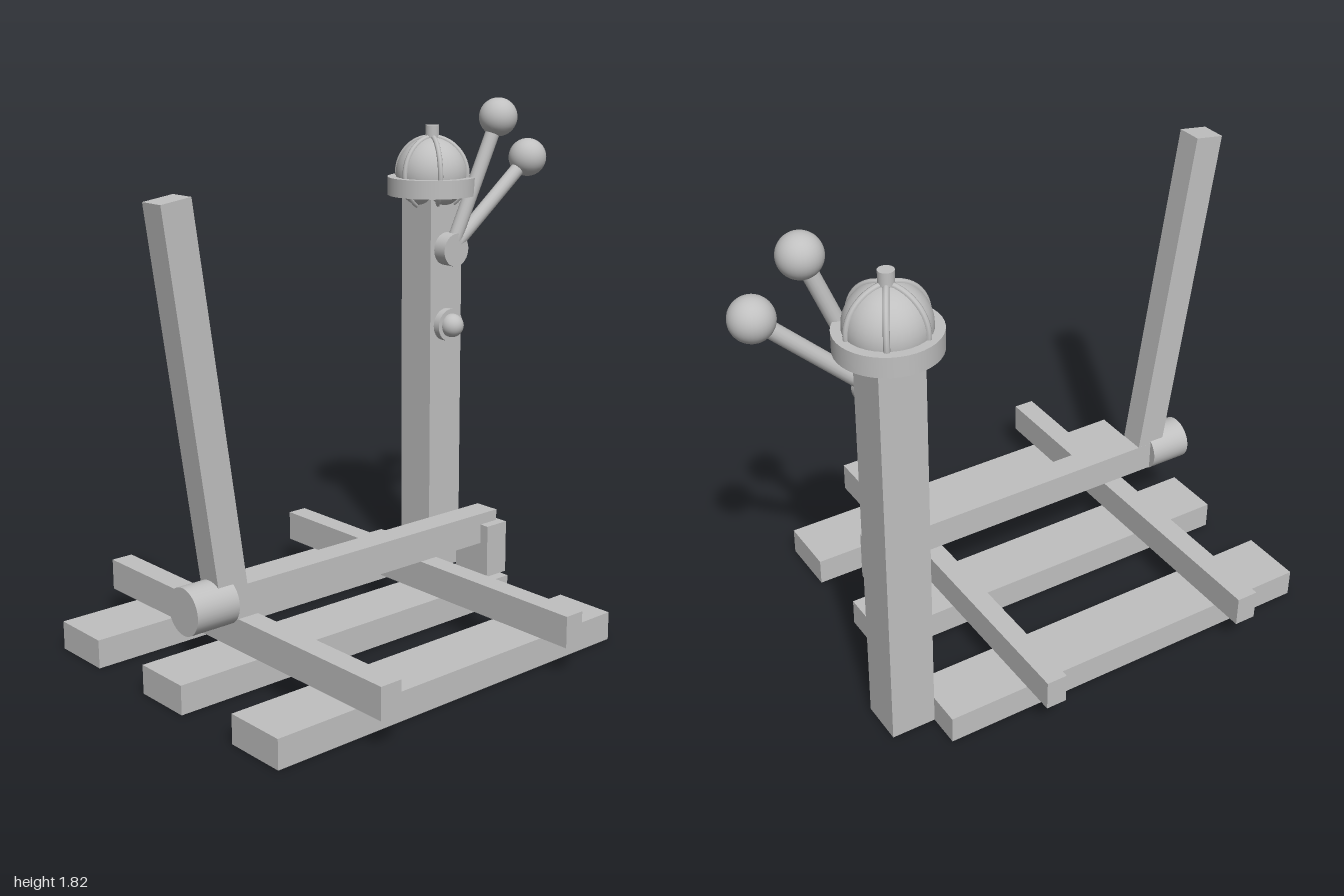
import * as THREE from 'three';

export function createModel() {
  const model = new THREE.Group();
  model.name = 'leverStation';

  const grey = new THREE.MeshStandardMaterial({ color: 0xc0c0c0 });
  grey.name = 'plain grey';

  const add = (name, geometry, x, y, z, parent = model) => {
    const mesh = new THREE.Mesh(geometry, grey);
    mesh.name = name;
    mesh.position.set(x, y, z);
    parent.add(mesh);
    return mesh;
  };
  // Box given by its min and max on each axis
  const block = (name, [x0, x1], [y0, y1], [z0, z1]) =>
    add(name, new THREE.BoxGeometry(x1 - x0, y1 - y0, z1 - z0),
      (x0 + x1) / 2, (y0 + y1) / 2, (z0 + z1) / 2);
  // Round bar between two points
  const UP = new THREE.Vector3(0, 1, 0);
  const rod = (name, a, b, radius, sides = 32) => {
    const from = new THREE.Vector3(...a);
    const dir = new THREE.Vector3(...b).sub(from);
    const mid = from.clone().addScaledVector(dir, 0.5);
    const mesh = add(name, new THREE.CylinderGeometry(radius, radius, dir.length(), sides), mid.x, mid.y, mid.z);
    mesh.quaternion.setFromUnitVectors(UP, dir.normalize());
    return mesh;
  };
  const ball = (name, r, x, y, z) => add(name, new THREE.SphereGeometry(r, 32, 20), x, y, z);

  // Base planks and cross beams
  for (const z of [[-0.6, -0.375], [-0.11, 0.105], [0.37, 0.595]])
    block('basePlank', [-0.97, 0.49], [0, 0.1], z);
  for (const x of [[-0.685, -0.605], [0.125, 0.2]])
    block('crossBeam', x, [0.11, 0.22], [-0.73, 0.725]);

  // Foot bar with end block, hub and leaning upright
  block('footBar', [-0.82, 0.405], [0.27, 0.38], [0.03, 0.125]);
  block('endBlock', [0.325, 0.42], [0.15, 0.34], [0, 0.16]);
  rod('hub', [-0.935, 0.328, 0.08], [-0.775, 0.328, 0.08], 0.079);
  const lean = 0.137, length = 1.29;
  const upright = add('leaningUpright', new THREE.BoxGeometry(0.11, length, 0.095),
    -0.945 + Math.sin(lean) * length / 2, 1.613 - Math.cos(lean) * length / 2, 0.078);
  upright.rotation.z = lean;

  // Control post
  const px = 0.57, pz = -0.4;
  block('post', [0.49, 0.65], [0, 1.46], [-0.48, -0.32]);

  // Push button on the post front
  rod('buttonBase', [px, 0.975, -0.325], [px, 0.975, -0.292], 0.062);
  ball('button', 0.045, px, 0.975, -0.285);

  // Two levers on a shared pivot
  rod('leverPivot', [px, 1.265, -0.325], [px, 1.265, -0.264], 0.062);
  for (const [x, y] of [[0.762, 1.75], [0.925, 1.59]]) {
    rod('leverRod', [px, 1.265, -0.294], [x, y, -0.245], 0.027, 16);
    ball('leverKnob', 0.072, x, y, -0.245);
  }

  // Caged lamp on top: globe, collar, wire hoops and cap
  const ly = 1.54;
  ball('lampGlobe', 0.137, px, ly, pz);
  add('lampCollar', new THREE.CylinderGeometry(0.168, 0.168, 0.068, 40), px, 1.496, pz);
  for (let i = 0; i < 3; i++) {
    const hoop = add('cageHoop', new THREE.TorusGeometry(0.137, 0.01, 8, 48), px, ly, pz);
    hoop.rotation.y = i * Math.PI / 3;
  }
  add('lampCap', new THREE.CylinderGeometry(0.026, 0.026, 0.06, 20), px, 1.691, pz);

  return model;
}
